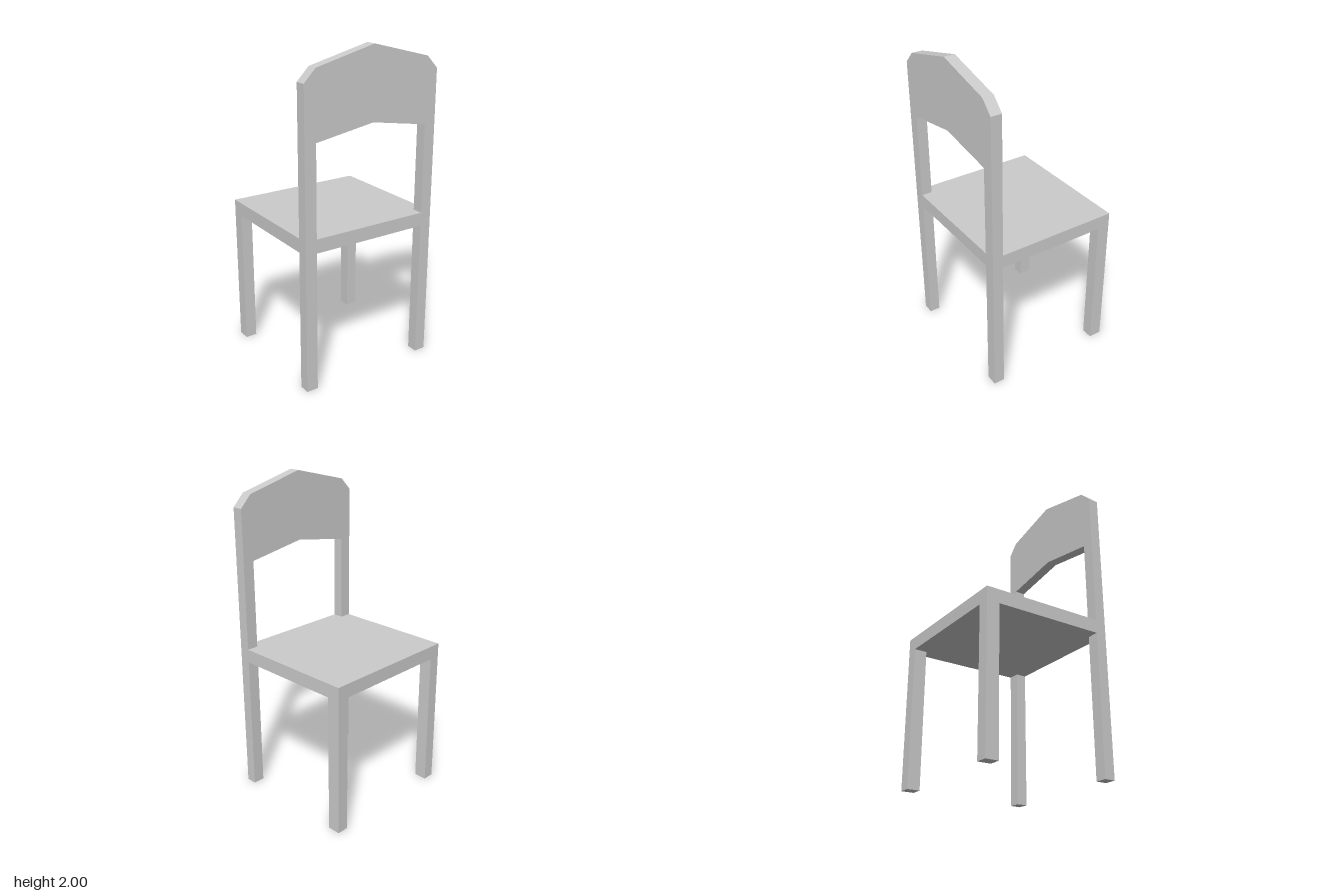
import * as THREE from 'three';

const W = 0.45, IN = 0.377;            // half width outside and between the posts
const SEAT_LOW = 0.873, SEAT_TOP = 0.958;
const Z_FAR = -0.423, Z_BACK = 0.355, Z_END = 0.423;

export function createModel() {
  const chair = new THREE.Group();
  chair.name = 'chair';
  const material = new THREE.MeshStandardMaterial({ color: 0xcccccc, flatShading: true });

  const add = (name, geometry) => {
    const mesh = new THREE.Mesh(geometry, material);
    mesh.name = name;
    chair.add(mesh);
    return mesh;
  };
  const box = (name, [x0, x1], [y0, y1], [z0, z1]) =>
    add(name, new THREE.BoxGeometry(x1 - x0, y1 - y0, z1 - z0))
      .position.set((x0 + x1) / 2, (y0 + y1) / 2, (z0 + z1) / 2);
  const points = (list) => list.map(([x, y]) => new THREE.Vector2(x, y));

  // Backrest frame: rear legs, seat rail, posts and peaked top panel in one board
  const frame = new THREE.Shape(points([
    [-W, 0], [-IN, 0], [-IN, SEAT_LOW], [IN, SEAT_LOW], [IN, 0], [W, 0],
    [W, 1.83], [IN, 1.905], [0, 2], [-IN, 1.905], [-W, 1.83],
  ]));
  // Opening between the seat and the top panel
  frame.holes.push(new THREE.Path(points([
    [-IN, SEAT_TOP], [-IN, 1.508], [0, 1.57], [IN, 1.508], [IN, SEAT_TOP],
  ])));
  add('backFrame', new THREE.ExtrudeGeometry(frame, { depth: Z_END - Z_BACK, bevelEnabled: false }))
    .position.z = Z_BACK;

  // Seat board, flush with the frame
  box('seat', [-W, W], [SEAT_LOW, SEAT_TOP], [Z_FAR, Z_BACK]);

  // Legs at the open edge of the seat
  box('leftLeg', [IN, W], [0, SEAT_LOW], [Z_FAR, -0.342]);
  box('rightLeg', [-W, -IN], [0, SEAT_LOW], [Z_FAR, -0.342]);

  return chair;
}
